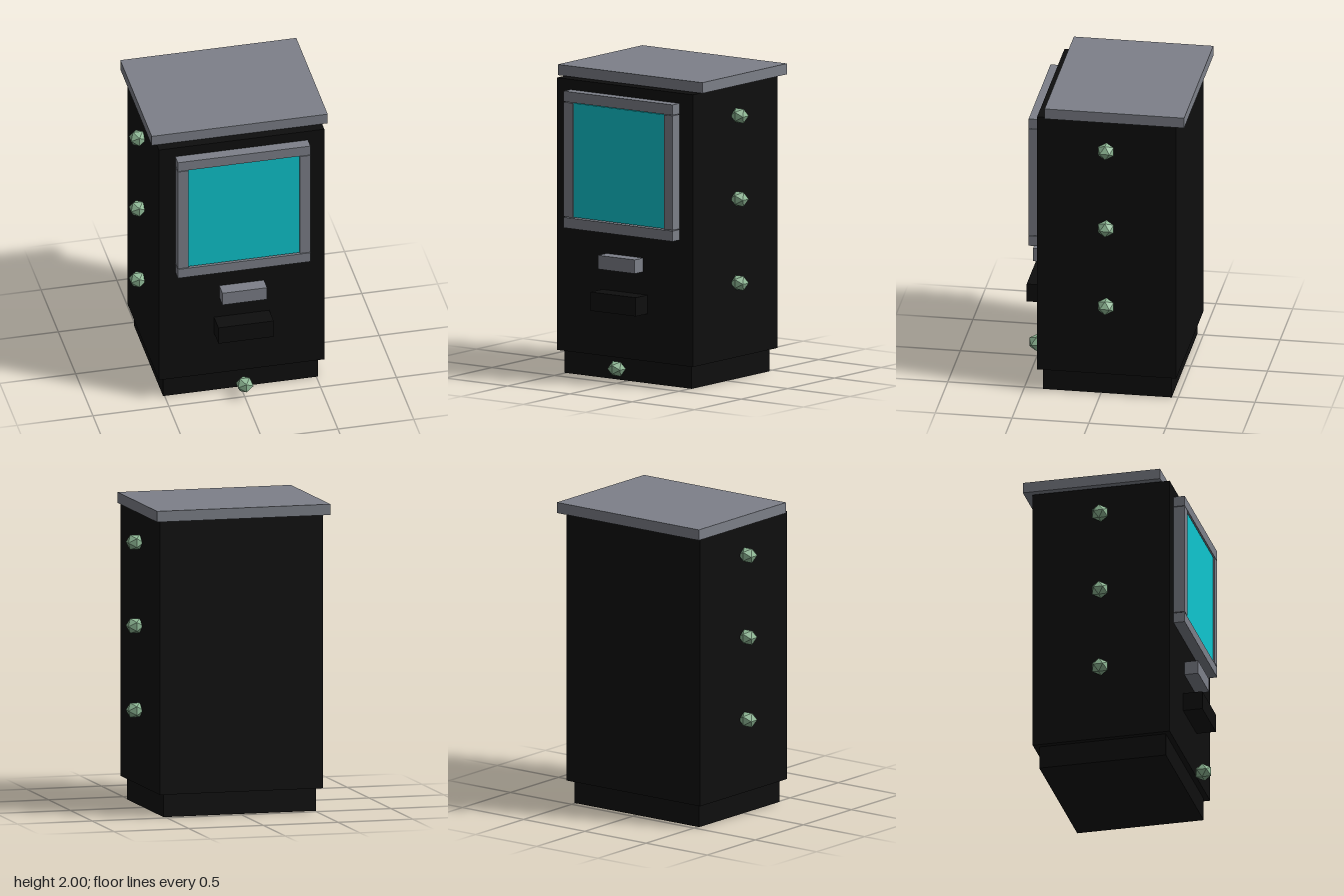
import * as THREE from 'three';

export function createModel() {
  const group = new THREE.Group();
  const mat = (name, color, flatShading = false) => {
    const m = new THREE.MeshStandardMaterial({ color, flatShading });
    m.name = name;
    return m;
  };
  const black = mat('black', 0x0e0e0e);
  const grey = mat('grey', 0x7d8089);
  const cyan = mat('cyan', 0x0fc6cf);
  const green = mat('green', 0x8fb996, true);

  // Box given by its extents on each axis
  const box = (name, material, [x0, x1], [y0, y1], [z0, z1]) => {
    const mesh = new THREE.Mesh(new THREE.BoxGeometry(x1 - x0, y1 - y0, z1 - z0), material);
    mesh.name = name;
    mesh.position.set((x0 + x1) / 2, (y0 + y1) / 2, (z0 + z1) / 2);
    group.add(mesh);
  };

  // Cabinet
  box('base', black, [-0.51, 0.51], [0, 0.15], [-0.46, 0.377]);
  box('cabinet', black, [-0.545, 0.545], [0.15, 1.925], [-0.495, 0.411]);
  box('roof', grey, [-0.58, 0.58], [1.93, 2], [-0.552, 0.356]);

  // Screen and its four frame bars
  box('screen', cyan, [-0.366, 0.366], [1.042, 1.785], [0.411, 0.475]);
  box('frameTop', grey, [-0.437, 0.437], [1.79, 1.858], [0.411, 0.484]);
  box('frameBottom', grey, [-0.437, 0.437], [0.967, 1.035], [0.411, 0.484]);
  box('frameLeft', grey, [0.367, 0.437], [1.04, 1.786], [0.411, 0.484]);
  box('frameRight', grey, [-0.437, -0.367], [1.04, 1.786], [0.411, 0.484]);

  // Slot and tray on the front
  box('slot', grey, [-0.147, 0.147], [0.73, 0.82], [0.411, 0.502]);
  box('tray', black, [-0.182, 0.182], [0.46, 0.582], [0.411, 0.538]);

  // Faceted studs: three on each side, one at the foot
  const studGeometry = new THREE.IcosahedronGeometry(0.06, 0).scale(1, 0.92, 1);
  const stud = (name, x, y, z) => {
    const mesh = new THREE.Mesh(studGeometry, green);
    mesh.name = name;
    mesh.position.set(x, y, z);
    group.add(mesh);
  };
  for (const y of [0.64, 1.187, 1.73]) {
    stud('leftStud', 0.581, y, -0.042);
    stud('rightStud', -0.581, y, -0.042);
  }
  stud('footStud', 0, 0.095, 0.5);

  return group;
}
